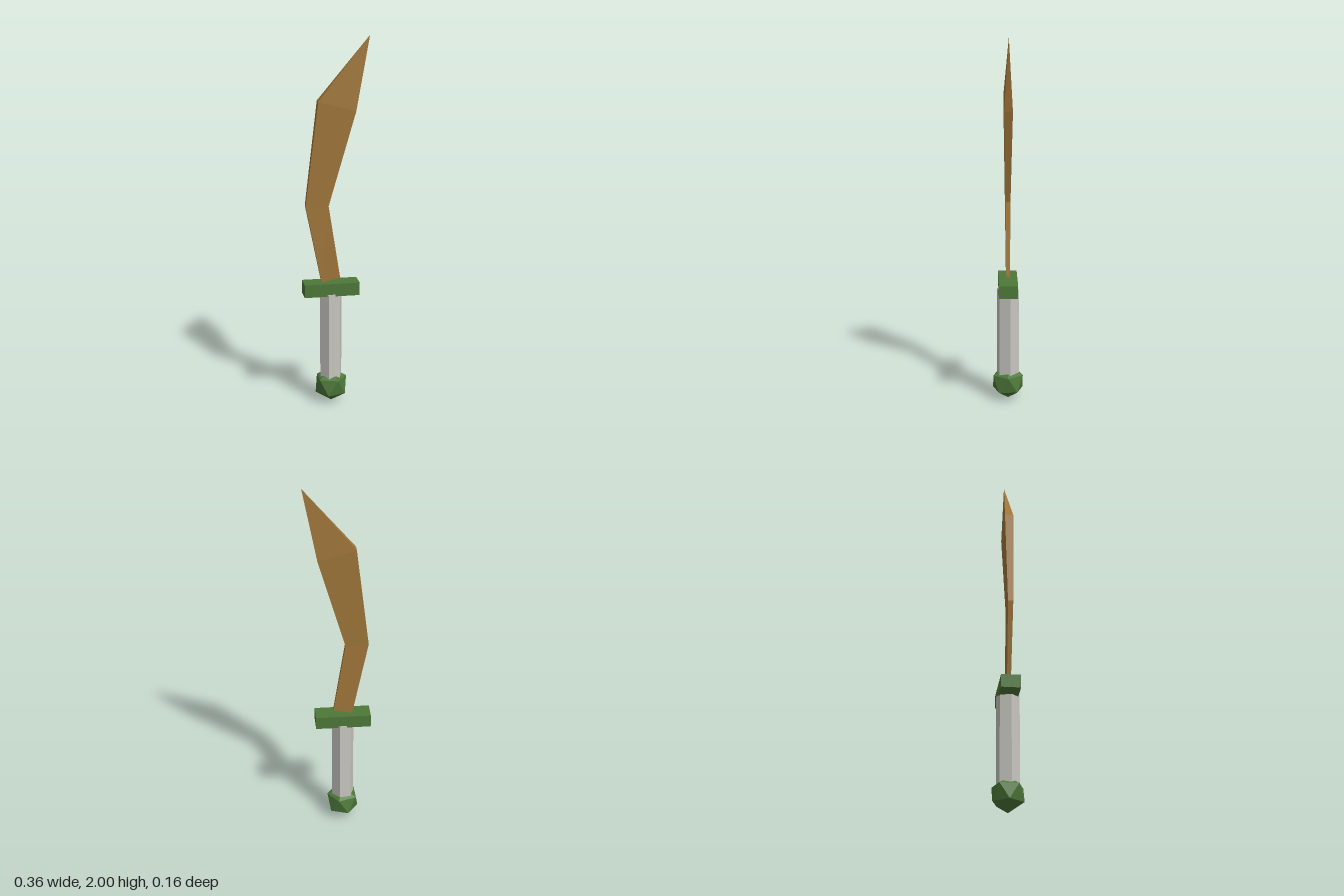
import * as THREE from 'three';

const material = (name, color) => {
  const m = new THREE.MeshStandardMaterial({ color, flatShading: true });
  m.name = name;
  return m;
};

// Curved blade: rectangular cross-sections joined from the guard to the tip
function bladeGeometry() {
  // [left x, left y, right x, right y, half thickness]
  const sections = [
    [-0.083, 0.683, 0.018, 0.705, 0.01],
    [-0.168, 1.11, -0.045, 1.105, 0.014],
    [-0.1, 1.665, 0.1, 1.61, 0.023],
    [0.175, 2.0, 0.175, 2.0, 0],
  ];
  const positions = [];
  const index = [0, 3, 2, 0, 2, 1];
  sections.forEach(([xl, yl, xr, yr, t], i) => {
    positions.push(xl, yl, t, xr, yr, t, xr, yr, -t, xl, yl, -t);
    if (i === 0) return;
    for (let k = 0; k < 4; k++) {
      const a = (i - 1) * 4 + k;
      const b = (i - 1) * 4 + ((k + 1) % 4);
      index.push(a, b, b + 4);
      if (i < sections.length - 1) index.push(a, b + 4, a + 4);
      else index.push();
    }
  });
  const g = new THREE.BufferGeometry();
  g.setAttribute('position', new THREE.Float32BufferAttribute(positions, 3));
  g.setIndex(index);
  const flat = g.toNonIndexed();
  flat.computeVertexNormals();
  return flat;
}

export function createModel() {
  const group = new THREE.Group();
  const bronze = material('bronze', 0xa0763a);
  const green = material('green', 0x4d7839);
  const grey = material('pale grey', 0xc6c5bf);
  const axisX = -0.032;

  const add = (name, geometry, mat, x, y) => {
    const mesh = new THREE.Mesh(geometry, mat);
    mesh.name = name;
    mesh.position.set(x, y, 0);
    group.add(mesh);
  };

  add('blade', bladeGeometry(), bronze, 0, 0);
  add('guard', new THREE.BoxGeometry(0.298, 0.07, 0.102), green, axisX, 0.65);

  // Six-sided grip, turned slightly about its axis
  const grip = new THREE.CylinderGeometry(0.062, 0.062, 0.52, 6);
  grip.rotateY(THREE.MathUtils.degToRad(-18));
  add('grip', grip, grey, axisX, 0.365);

  // Faceted pommel standing on one corner
  const pommel = new THREE.IcosahedronGeometry(0.095, 0);
  pommel.rotateZ(-Math.atan(2 / (1 + Math.sqrt(5))));
  add('pommel', pommel, green, axisX, 0.095);

  return group;
}
